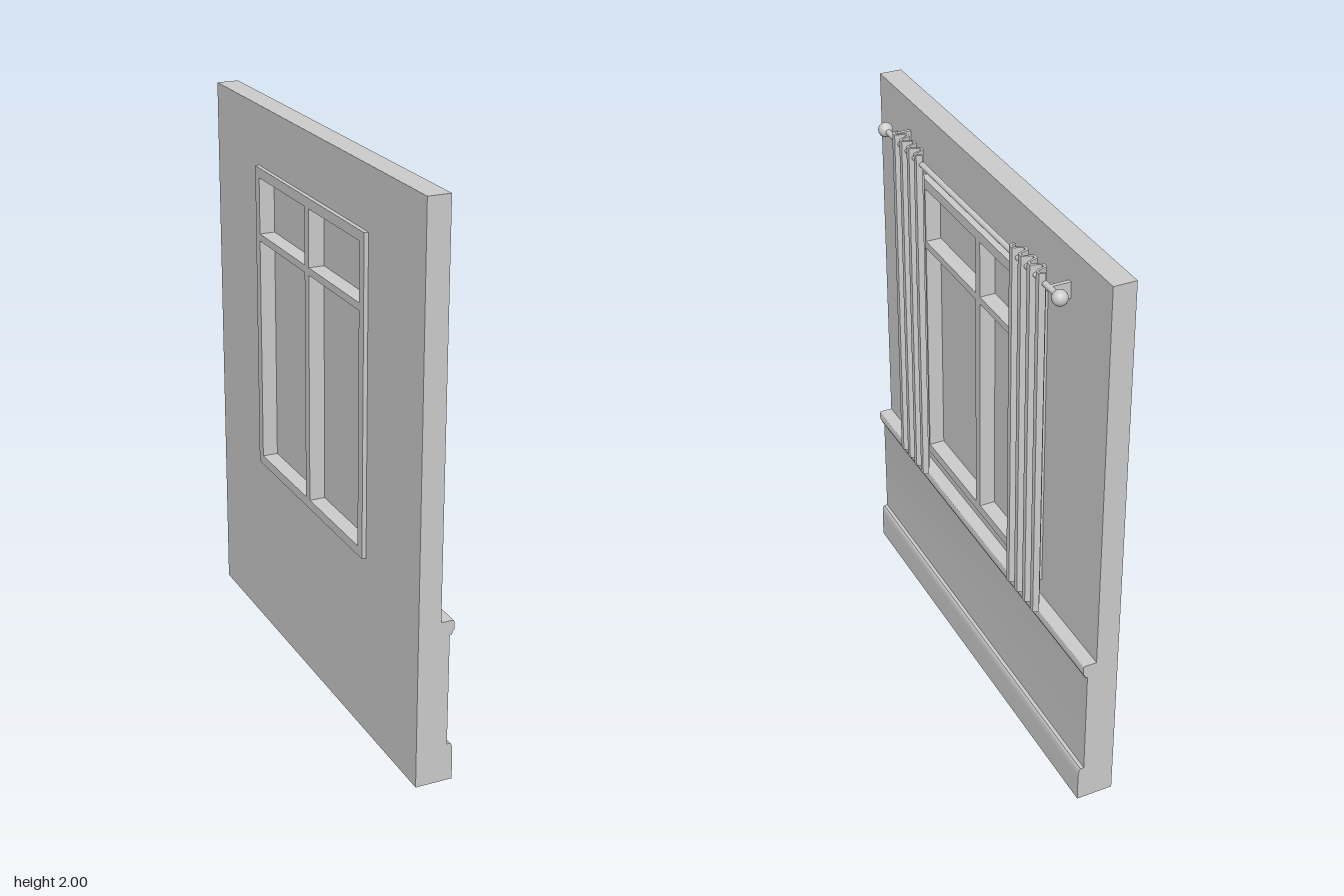
import * as THREE from 'three';
import { toCreasedNormals } from 'three/addons/utils/BufferGeometryUtils.js';

const material = new THREE.MeshStandardMaterial({ color: 0xcccccc, side: THREE.DoubleSide });
const WIDTH = 1.67;       // wall length along z
const ROD_X = 0.066, ROD_Y = 1.88;

function rect(path, x0, y0, x1, y1) {
  path.moveTo(x0, y0).lineTo(x1, y0).lineTo(x1, y1).lineTo(x0, y1).closePath();
  return path;
}

function extrude(shape, depth) {
  return new THREE.ExtrudeGeometry(shape, { depth, bevelEnabled: false, curveSegments: 8 });
}

// Remove the triangles lying on the floor, leaving the shell open below
function openBottom(geometry) {
  const p = geometry.attributes.position;
  const kept = [];
  for (let i = 0; i < p.count; i += 3) {
    if (Math.max(p.getY(i), p.getY(i + 1), p.getY(i + 2)) < 1e-4) continue;
    for (let k = i; k < i + 3; k++) kept.push(p.getX(k), p.getY(k), p.getZ(k));
  }
  const result = new THREE.BufferGeometry();
  result.setAttribute('position', new THREE.Float32BufferAttribute(kept, 3));
  return result;
}

// Pleated cloth: a thin ribbon wave seen from above, extruded upwards
function curtainGeometry() {
  const steps = 84, span = 0.215, half = 0.004;
  const centre = [];
  for (let i = 0; i <= steps; i++) {
    const t = i / steps;
    const wave = THREE.MathUtils.clamp(1.5 * Math.sin(t * 7 * Math.PI), -1, 1);
    centre.push(new THREE.Vector2(0.0635 + 0.0175 * wave, (t - 0.5) * (span - 2 * half)));
  }
  const offset = (side) => centre.map((c, i) => {
    const a = centre[Math.max(i - 1, 0)], b = centre[Math.min(i + 1, steps)];
    const d = b.clone().sub(a).normalize();
    return new THREE.Vector2(c.x + d.y * half * side, c.y - d.x * half * side);
  });
  const shape = new THREE.Shape([...offset(1), ...offset(-1).reverse()]);
  return toCreasedNormals(extrude(shape, 1.295).rotateX(-Math.PI / 2), 0.7);
}

export function createModel() {
  const model = new THREE.Group();
  const add = (name, geometry, x = 0, y = 0, z = 0) => {
    const mesh = new THREE.Mesh(geometry, material);
    mesh.name = name;
    mesh.position.set(x, y, z);
    model.add(mesh);
    return mesh;
  };

  // Lower wall with baseboard, panelling and chair rail in one profile
  const profile = new THREE.Shape();
  profile.moveTo(-0.08, 0).lineTo(0.053, 0).lineTo(0.053, 0.09);
  profile.quadraticCurveTo(0.053, 0.13, 0.045, 0.137);
  profile.lineTo(0.032, 0.137).lineTo(0.032, 0.543).lineTo(0.04, 0.543);
  profile.quadraticCurveTo(0.041, 0.555, 0.048, 0.56);
  profile.lineTo(0.048, 0.585).quadraticCurveTo(0.048, 0.594, 0.04, 0.594);
  profile.lineTo(-0.08, 0.594).closePath();
  const lower = openBottom(extrude(profile, WIDTH).translate(0, 0, -WIDTH / 2));
  add('lowerWall', toCreasedNormals(lower, 0.6));

  // Upper wall with the window opening
  const wall = rect(new THREE.Shape(), -WIDTH / 2, 0.594, WIDTH / 2, 2);
  wall.holes.push(rect(new THREE.Path(), -0.44, 0.665, 0.44, 1.782));
  add('upperWall', extrude(wall, 0.08).rotateY(Math.PI / 2), -0.08);

  // Window frame with four lights
  const frame = rect(new THREE.Shape(), -0.445, 0.66, 0.445, 1.786);
  for (const [z0, z1] of [[-0.41, -0.017], [0.017, 0.41]]) {
    for (const [y0, y1] of [[0.694, 1.521], [1.547, 1.75]]) {
      frame.holes.push(rect(new THREE.Path(), z0, y0, z1, y1));
    }
  }
  add('windowFrame', extrude(frame, 0.12).rotateY(Math.PI / 2), -0.095);
  add('windowPane', new THREE.BoxGeometry(0.008, 1.1, 0.86), -0.035, 1.223, 0);

  // Curtain rod
  add('curtainRod', new THREE.CylinderGeometry(0.01, 0.01, 1.26, 20).rotateX(Math.PI / 2), ROD_X, ROD_Y, 0);

  // Bracket outline: arm with a curved brace down the wall
  const bracket = new THREE.Shape();
  bracket.moveTo(0, 1.89).lineTo(ROD_X, 1.89).lineTo(ROD_X, 1.87).lineTo(0.03, 1.87);
  bracket.quadraticCurveTo(0.012, 1.865, 0.01, 1.833);
  bracket.lineTo(0, 1.833).closePath();
  const bracketGeometry = extrude(bracket, 0.014).translate(0, 0, -0.007);
  const curtain = curtainGeometry();
  const ball = new THREE.SphereGeometry(0.026, 24, 16);

  // Mirrored fittings and curtains
  for (const side of [-1, 1]) {
    const label = side > 0 ? 'Front' : 'Back';
    add('rodFinial' + label, ball, ROD_X, ROD_Y, side * 0.642);
    add('rodBracket' + label, bracketGeometry, 0, 0, side * 0.582);
    add('curtain' + label, curtain, 0, 0.62, side * 0.443);
  }
  return model;
}
